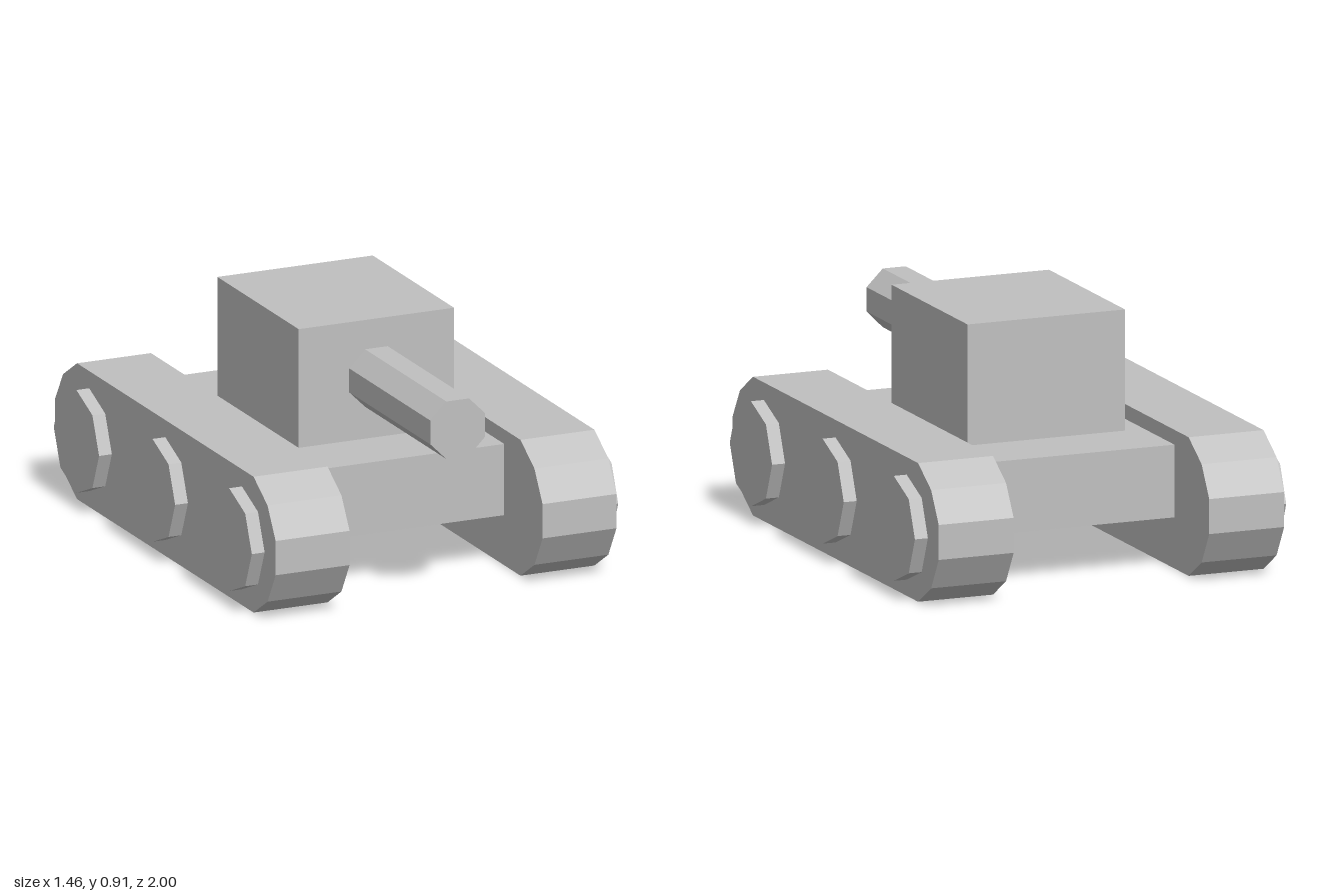
import * as THREE from 'three';

export function createModel() {
  const model = new THREE.Group();
  const grey = new THREE.MeshStandardMaterial({ color: 0xc0c0c0, flatShading: true });
  grey.name = 'plain grey';

  const add = (name, geometry, x, y, z) => {
    const mesh = new THREE.Mesh(geometry, grey);
    mesh.name = name;
    mesh.position.set(x, y, z);
    model.add(mesh);
  };

  // Hull slung between the tracks, with the turret block on top
  add('hull', new THREE.BoxGeometry(0.77, 0.27, 1.25), 0, 0.325, -0.055);
  add('turret', new THREE.BoxGeometry(0.62, 0.45, 0.7), 0, 0.685, -0.05);

  // Octagonal barrel, flat side up
  const barrel = new THREE.CylinderGeometry(0.118, 0.118, 0.7, 8);
  barrel.rotateY(Math.PI / 8).rotateX(Math.PI / 2);
  add('barrel', barrel, 0, 0.69, 0.65);

  // Track outline as (z, y), extruded across x
  const outline = [
    [0.71, 0], [0.83, 0.075], [0.9, 0.195], [0.9, 0.325], [0.83, 0.44], [0.71, 0.515],
    [-0.81, 0.515], [-0.93, 0.44], [-1, 0.325], [-1, 0.195], [-0.93, 0.075], [-0.81, 0],
  ].map(([z, y]) => new THREE.Vector2(z, y));
  const track = new THREE.ExtrudeGeometry(new THREE.Shape(outline), { depth: 0.295, bevelEnabled: false });
  track.rotateY(-Math.PI / 2).translate(0.1475, 0, 0);

  // Octagonal wheel, corner up
  const wheel = new THREE.CylinderGeometry(0.195, 0.195, 0.07, 8);
  wheel.rotateZ(Math.PI / 2);

  for (const [side, s] of [['left', 1], ['right', -1]]) {
    add(`${side}Track`, track, s * 0.5325, 0, 0);
    for (const [place, z] of [['Front', 0.61], ['Middle', -0.05], ['Rear', -0.705]]) {
      add(`${side}${place}Wheel`, wheel, s * 0.696, 0.255, z);
    }
  }
  return model;
}
